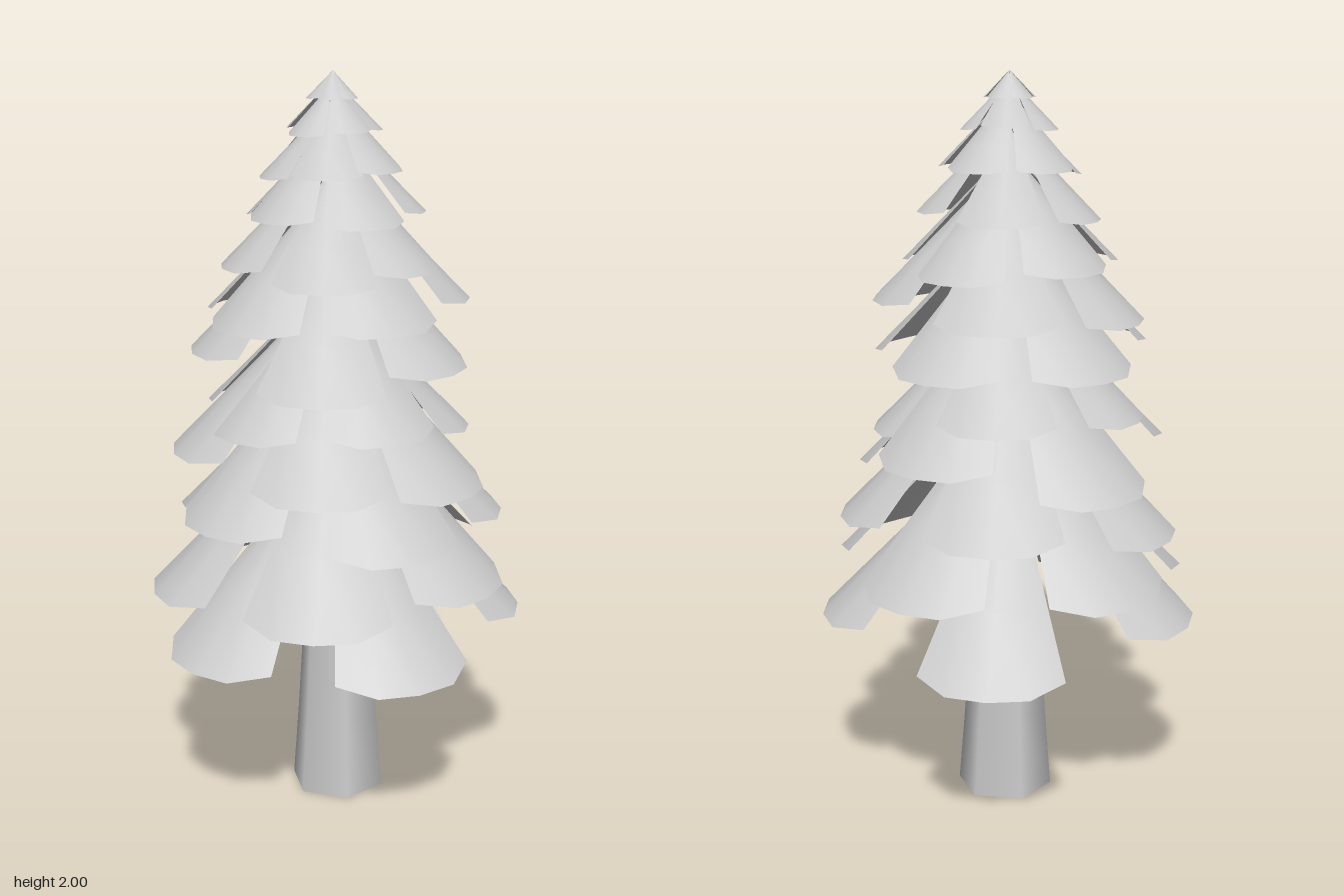
import * as THREE from 'three';

const material = new THREE.MeshStandardMaterial({ color: 0xcccccc, side: THREE.DoubleSide });

// Bough directions in degrees from +x towards +z; tiers alternate between the two sets
const directions = [[17, 87, 165, 238, 313], [349, 48, 116, 193, 265]];

// Reach of each tier and the tip height of its five boughs, from the ground up
const tiers = [
  [0.52, [0.47, 0.485, 0.55, 0.47, 0.54]],
  [0.505, [0.67, 0.62, 0.62, 0.67, 0.67]],
  [0.465, [0.80, 0.85, 0.785, 0.83, 0.82]],
  [0.44, [0.93, 0.95, 1.01, 0.93, 1.01]],
  [0.37, [1.09, 1.08, 1.10, 1.11, 1.06]],
  [0.385, [1.25, 1.20, 1.28, 1.24, 1.24]],
  [0.365, [1.37, 1.36, 1.36, 1.37, 1.41]],
  [0.30, [1.50, 1.47, 1.50, 1.50, 1.48]],
  [0.245, [1.62, 1.63, 1.62, 1.62, 1.64]],
  [0.195, [1.75, 1.74, 1.73, 1.75, 1.75]],
  [0.13, [1.85, 1.84, 1.85, 1.86, 1.85]],
  [0.07, [1.93, 1.93, 1.93, 1.93, 1.93]],
];

// One drooping fan: straight ribs run from the trunk axis to a rounded, nearly level tip edge
function boughGeometry(reach, halfAngle) {
  const rows = 3, segments = 4, positions = [], index = [];
  for (let i = 0; i <= rows; i++) {
    for (let j = 0; j <= segments; j++) {
      const t = (j / segments) * 2 - 1, s = i / rows;
      const r = s * reach * (1 - 0.05 * t * t - 0.06 * t ** 4);
      const y = -s * reach * (1 - 0.04 * t ** 4);
      positions.push(r * Math.cos(t * halfAngle), y, r * Math.sin(t * halfAngle));
    }
  }
  for (let i = 0; i < rows; i++) {
    for (let j = 0; j < segments; j++) {
      const a = i * (segments + 1) + j, b = a + segments + 1;
      if (i > 0) index.push(a, a + 1, b);
      index.push(a + 1, b + 1, b);
    }
  }
  const geometry = new THREE.BufferGeometry();
  geometry.setAttribute('position', new THREE.Float32BufferAttribute(positions, 3));
  geometry.setIndex(index);
  geometry.computeVertexNormals();
  return geometry;
}

export function createModel() {
  const tree = new THREE.Group();
  tree.name = 'pineTree';

  // Six-sided tapering trunk, open at the foot, leaning slightly to the tree axis
  const profile = [[0.132, 0], [0.115, 0.22], [0.097, 0.5], [0.07, 0.85], [0.045, 1.3], [0.008, 1.94]];
  const trunkGeometry = new THREE.LatheGeometry(profile.map(([r, y]) => new THREE.Vector2(r, y)), 6);
  const p = trunkGeometry.attributes.position;
  for (let i = 0; i < p.count; i++) p.setX(i, p.getX(i) + 0.025 - 0.006 * p.getY(i));
  const trunk = new THREE.Mesh(trunkGeometry, material);
  trunk.name = 'trunk';
  tree.add(trunk);

  // Tiers of five boughs; the fans widen towards the peak
  tiers.forEach(([reach, tipHeights], k) => {
    const tier = new THREE.Group();
    tier.name = `tier${k + 1}`;
    const geometry = boughGeometry(reach, 0.43 + 0.015 * k);
    tipHeights.forEach((tipY, i) => {
      const bough = new THREE.Mesh(geometry, material);
      bough.name = 'bough';
      bough.position.set(0.01, tipY + reach, 0.005);
      bough.rotation.y = -THREE.MathUtils.degToRad(directions[k % 2][i]);
      tier.add(bough);
    });
    tree.add(tier);
  });
  return tree;
}
